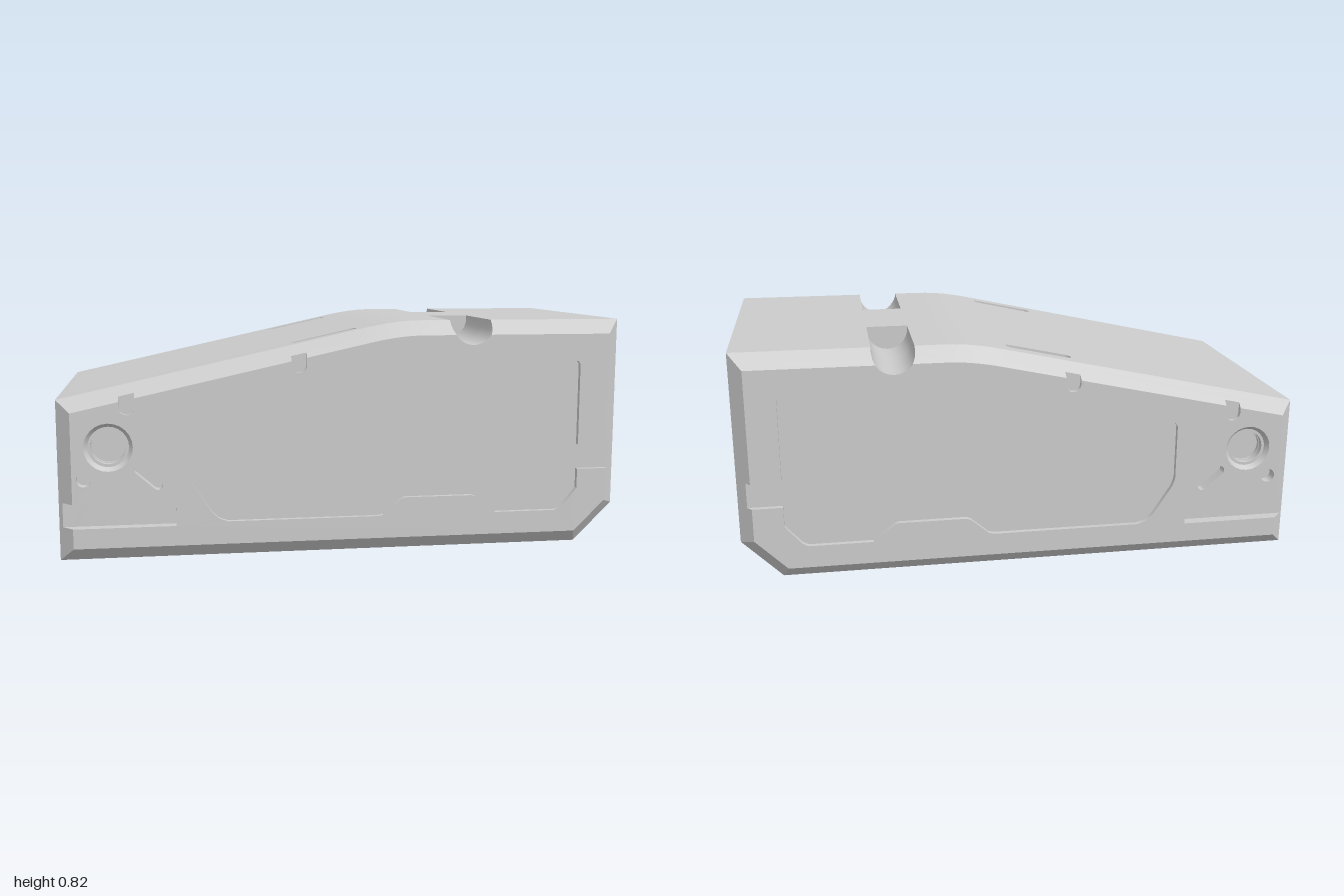
import * as THREE from 'three';
import { toCreasedNormals } from 'three/addons/utils/BufferGeometryUtils.js';

const V = (x, y) => new THREE.Vector2(x, y);
const SLOPE = 0.22, CURVE_START = 0.07;
// height of the sloping roof line, inset by d
const edge = (x, d = 0) => 0.56 + SLOPE * (x + 1) - d * Math.hypot(1, SLOPE);

// silhouette: counter-clockwise, bottom left first
const roofCurve = new THREE.QuadraticBezierCurve(V(0.27, 0.82), V(0.18, 0.82), V(CURVE_START, edge(CURVE_START))).getPoints(8);
const base = [V(-1, 0), V(0.86, 0), V(1, 0.14), V(1, 0.82), ...roofCurve, V(-1, 0.56)];

// mitred inward offset of the silhouette
function inset(d) {
  const n = base.length;
  return base.map((p, i) => {
    const a = p.clone().sub(base[(i + n - 1) % n]).normalize();
    const b = base[(i + 1) % n].clone().sub(p).normalize();
    const na = V(-a.y, a.x), nb = V(-b.y, b.x);
    return p.clone().addScaledVector(na.clone().add(nb), d / (1 + na.dot(nb)));
  });
}

// cuts that open through the silhouette
function barrelNotch(d) {
  const r = 0.075, a = Math.asin((0.01 - d) / r), pts = [];
  for (let i = 0; i <= 16; i++) {
    const t = a - (Math.PI + 2 * a) * i / 16;
    pts.push(V(0.45 + r * Math.cos(t), 0.81 + r * Math.sin(t)));
  }
  return pts;
}
function rimNotch(c, bottom, d) {
  const w = 0.027, pts = [V(c + w, edge(c + w, d))];
  for (let i = 0; i <= 8; i++) {
    const t = -Math.PI * i / 8;
    pts.push(V(c + w * Math.cos(t), bottom + w + w * Math.sin(t)));
  }
  return [...pts, V(c - w, edge(c - w, d))];
}
const POCKET = [-0.21, 0.068], POCKET_DEPTH = 0.02;
function slotPocket() {
  const [x0, x1] = POCKET;
  return [V(x1, edge(x1)), V(x1, edge(x1) - POCKET_DEPTH), V(x0, edge(x0) - POCKET_DEPTH), V(x0, edge(x0))];
}
const panelCut = d => [
  [1 - d, 0.28], [0.845, 0.28], [0.845, 0.21], [0.83, 0.19], [0.785, 0.14], [0.765, 0.13], [0.54, 0.13],
  [0.465, 0.19], [0.45, 0.195], [0.21, 0.195], [0.195, 0.19], [0.13, 0.135], [0.11, 0.13], [-0.42, 0.13],
  [-0.45, 0.14], [-0.475, 0.162], [-0.545, 0.27], [-0.555, 0.3], [-0.555, 0.5], [-0.545, 0.512], [0.08, 0.652],
  [0.16, 0.667], [0.25, 0.673], [0.835, 0.673], [0.845, 0.663], [0.845, 0.37], [1 - d, 0.37]
].map(p => V(...p));
const barCut = d => [V(-1 + d, 0.205), V(-0.6, 0.205), V(-0.6, 0.12), V(-1 + d, 0.12)];

// roof line from right to left, with the chosen cuts
function topLine(d, cut) {
  const p = inset(d);
  return [p[3], ...(cut.barrel ? barrelNotch(d) : []), ...p.slice(4, -1),
    ...(cut.pocket ? slotPocket() : []),
    ...(cut.rim ? [...rimNotch(-0.17, 0.645, d), ...rimNotch(-0.76, 0.51, d)] : []), p[p.length - 1]];
}
function sideOutline(d, cut = {}) {
  return [...inset(d).slice(0, 3), ...(cut.panel ? panelCut(d) : []), ...topLine(d, cut), ...(cut.bar ? barCut(d) : [])];
}
function roofOutline(cut = {}) {
  const ceiling = [V(1, 0.7), ...roofCurve.map(p => V(p.x, p.y - 0.12)), V(-1, 0.445)].reverse();
  return [...topLine(0, cut), ...ceiling];
}

// clockwise rounded slot; a circle when half is 0
function slot(x, y, r, half = 0, angle = 0) {
  const pts = [];
  for (let k = 0; k < 2; k++) for (let i = 0; i < 13; i++) {
    const t = Math.PI / 2 - Math.PI * (i / 12 + k);
    if (half === 0 && i === 12) continue;
    pts.push(V((k ? -half : half) + r * Math.cos(t), r * Math.sin(t)).rotateAround(V(0, 0), angle).add(V(x, y)));
  }
  return pts;
}

// solid between two matching outlines (each with holes), mirrored when side is -1
function slab(zA, zB, outA, outB = outA, holesA = [], holesB = holesA, side = 1) {
  const pos = [];
  const tri = (...c) => (side > 0 ? c : c.reverse()).forEach(([p, z]) => pos.push(p.x, p.y, z * side));
  const cap = (out, holes, z, up) => {
    const all = [out, ...holes].flat();
    for (const [a, b, c] of THREE.ShapeUtils.triangulateShape(out, holes)) {
      const t = up ? [a, b, c] : [c, b, a];
      tri(...t.map(i => [all[i], z]));
    }
  };
  [outA, ...holesA].forEach((loopA, k) => {
    const loopB = [outB, ...holesB][k], n = loopA.length;
    for (let i = 0; i < n; i++) {
      const j = (i + 1) % n;
      tri([loopA[i], zA], [loopA[j], zA], [loopB[j], zB]);
      tri([loopA[i], zA], [loopB[j], zB], [loopB[i], zB]);
    }
  });
  cap(outA, holesA, zA, false);
  cap(outB, holesB, zB, true);
  const g = new THREE.BufferGeometry();
  g.setAttribute('position', new THREE.Float32BufferAttribute(pos, 3));
  return toCreasedNormals(g, 0.45);
}

// thin plate with a slot, sheared to lie flush in the roof pocket
function slotPlate(side) {
  const [x0, x1] = POCKET;
  const shape = new THREE.Shape([V(x0, -0.44), V(x1, -0.44), V(x1, -0.36), V(x0, -0.36)]);
  shape.holes.push(new THREE.Path(slot(-0.068, -0.4, 0.02, 0.098)));
  const g = new THREE.ExtrudeGeometry(shape, { depth: POCKET_DEPTH, bevelEnabled: false });
  g.rotateX(-Math.PI / 2);
  if (side < 0) g.translate(0, 0, -0.8);
  const p = g.attributes.position;
  for (let i = 0; i < p.count; i++) p.setY(i, p.getY(i) - POCKET_DEPTH + edge(p.getX(i)));
  return toCreasedNormals(g, 0.45);
}

export function createModel() {
  const root = new THREE.Group();
  root.name = 'cover';
  const mat = new THREE.MeshStandardMaterial({ color: 0xcccccc });
  const add = (parent, name, geo) => {
    const m = new THREE.Mesh(geo, mat);
    m.name = name;
    parent.add(m);
  };

  add(root, 'roofCentre', slab(-0.155, 0.155, roofOutline()));

  const barrel = { barrel: true }, pocket = { barrel: true, pocket: true };
  const Z = [0.47, 0.485, 0.507, 0.525];
  const D = Z.map(z => (z - 0.47) / 0.055 * 0.05);
  const details = [slot(-0.91, 0.29, 0.025), slot(-0.692, 0.293, 0.016, 0.043, -0.72)];

  for (const side of [1, -1]) {
    const half = new THREE.Group();
    half.name = side > 0 ? 'frontSide' : 'backSide';
    root.add(half);
    const layer = (name, i, cut, holesA, holesB = holesA) =>
      add(half, name, slab(Z[i], Z[i + 1], sideOutline(D[i], cut), sideOutline(D[i + 1], cut), holesA, holesB, side));
    const plain = (name, z0, z1, outline) => add(half, name, slab(z0, z1, outline, outline, [], [], side));

    // roof and wall, split where the barrel notch and slot pocket begin and end
    plain('roofNotched', 0.155, 0.36, roofOutline(barrel));
    plain('roofPocket', 0.36, 0.39, roofOutline(pocket));
    plain('wallPocket', 0.39, 0.44, sideOutline(0, pocket));
    plain('wall', 0.44, 0.47, sideOutline(0, barrel));
    add(half, 'roofSlot', slotPlate(side));

    // bevelled outer layers, each with the recesses that reach its depth
    layer('bevelBase', 0, barrel, [slot(-0.825, 0.4, 0.058)]);
    layer('bevelMiddle', 1, { barrel: true, bar: true }, [slot(-0.825, 0.4, 0.06), ...details]);
    layer('facePlate', 2, { barrel: true, bar: true, rim: true, panel: true },
      [slot(-0.825, 0.4, 0.07), ...details], [slot(-0.825, 0.4, 0.083), ...details]);
  }
  return root;
}
